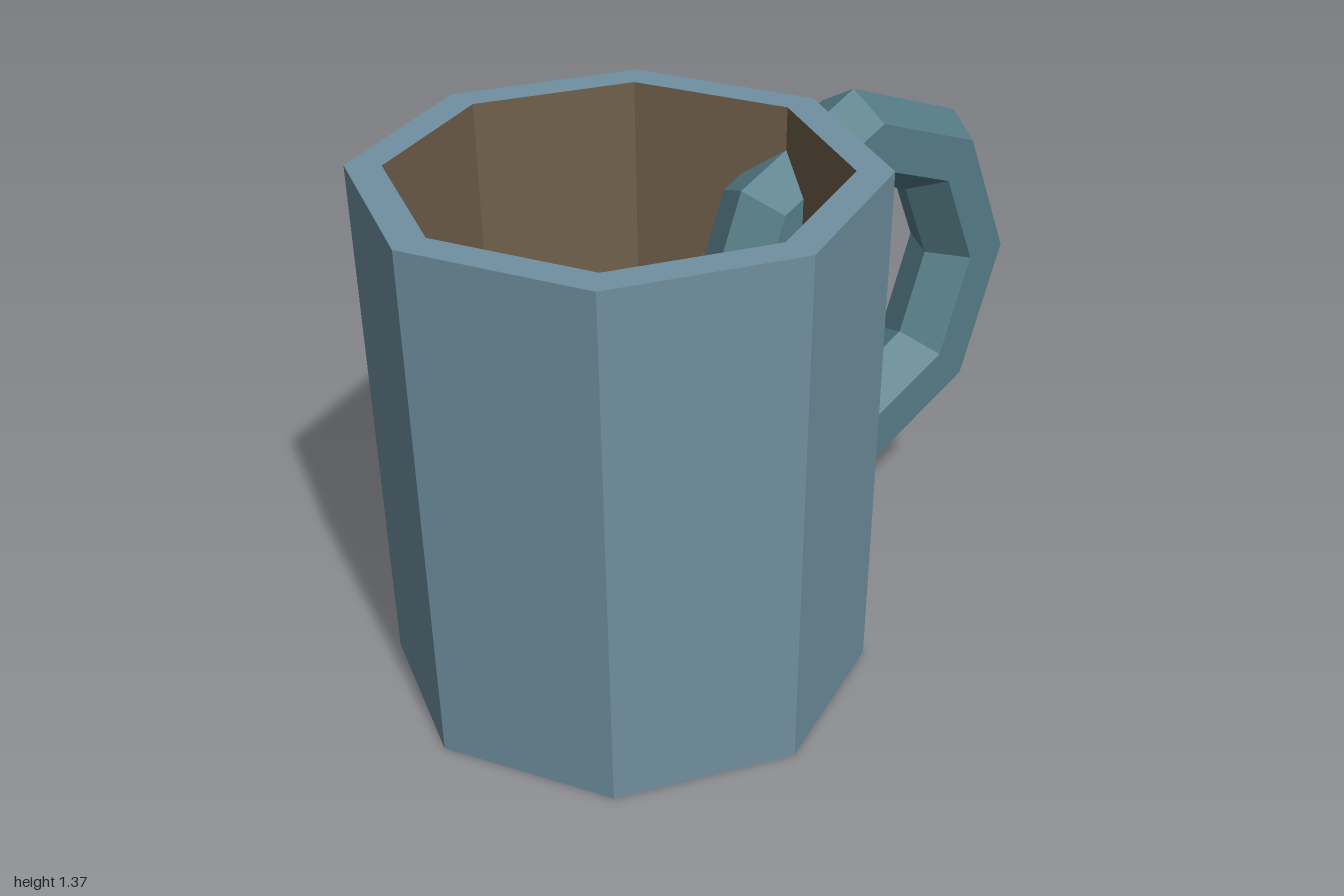
import * as THREE from 'three';

const SIDES = 8;
const CUP_X = -0.355;
const HEIGHT = 1.37;

// Faceted part from a profile of [radius, y] points, running outward and up
function latheMesh(name, profile, color) {
  const points = profile.map(([r, y]) => new THREE.Vector2(r, y));
  const mesh = new THREE.Mesh(
    new THREE.LatheGeometry(points, SIDES),
    new THREE.MeshStandardMaterial({ color, flatShading: true })
  );
  mesh.name = name;
  mesh.position.x = CUP_X;
  return mesh;
}

export function createModel() {
  const mug = new THREE.Group();
  mug.name = 'mug';

  // Outside: base, tapered wall and flat rim
  mug.add(latheMesh('cupBody', [[0, 0], [0.61, 0], [0.645, HEIGHT], [0.555, HEIGHT]], 0x7090a0));

  // Inside: wall going down to the floor
  mug.add(latheMesh('cupInterior', [[0.555, HEIGHT], [0.525, 0.09], [0, 0.09]], 0x6f5f4a));

  // Handle: hexagonal ring that passes through the cup wall
  const handle = new THREE.Mesh(
    new THREE.TorusGeometry(0.433, 0.128, 6, SIDES),
    new THREE.MeshStandardMaterial({ color: 0x557d87, flatShading: true })
  );
  handle.name = 'handle';
  handle.position.set(0.438, 0.795, 0);
  mug.add(handle);

  return mug;
}
